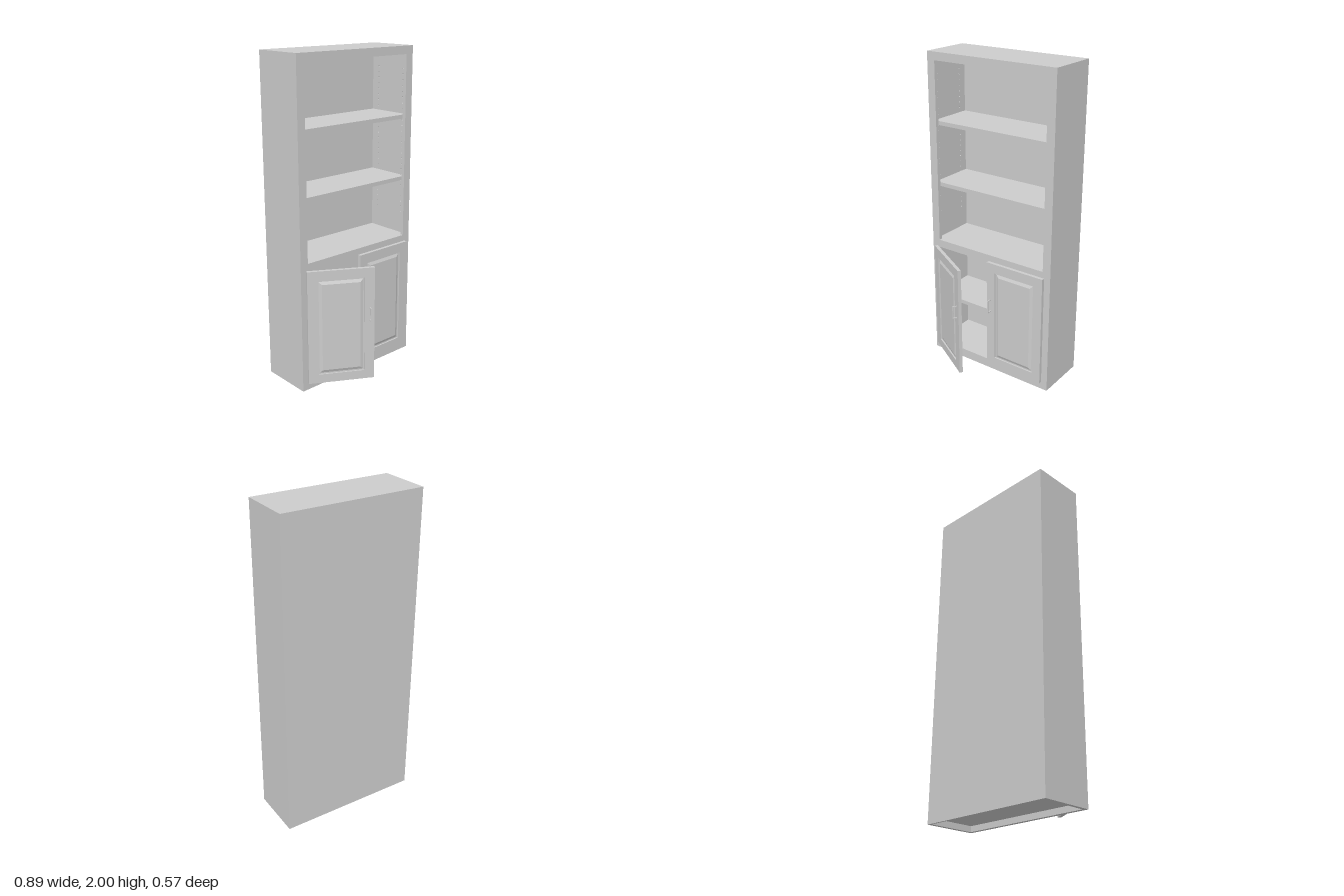
import * as THREE from 'three';

const material = new THREE.MeshStandardMaterial({ color: 0xcccccc, flatShading: true });

// Overall cabinet limits
const W = 0.443, H = 2, BACK = -0.285, FRONT = 0.047;
const FRAME = 0.022, WALL = 0.022;
const DOOR = { w: 0.402, y0: 0.05, y1: 0.77, t: 0.021 };

function add(parent, name, geometry) {
  const mesh = new THREE.Mesh(geometry, material);
  mesh.name = name;
  parent.add(mesh);
  return mesh;
}

// Box given by its limits on each axis
function box(parent, name, x0, x1, y0, y1, z0, z1) {
  const mesh = add(parent, name, new THREE.BoxGeometry(x1 - x0, y1 - y0, z1 - z0));
  mesh.position.set((x0 + x1) / 2, (y0 + y1) / 2, (z0 + z1) / 2);
  return mesh;
}

function rect(x0, x1, y0, y1, Type = THREE.Shape) {
  return new Type([[x0, y0], [x1, y0], [x1, y1], [x0, y1]].map(p => new THREE.Vector2(...p)));
}

// Flat plate with rectangular openings, its back at z
function plate(parent, name, outline, holes, depth, z) {
  outline.holes.push(...holes);
  const mesh = add(parent, name, new THREE.ExtrudeGeometry(outline, { depth, bevelEnabled: false }));
  mesh.position.z = z;
  return mesh;
}

// Side wall: solid outer skin and an inner lining drilled for shelf pins
function sideWall(parent, side) {
  const skin = 0.012, z1 = FRONT - FRAME;
  const xs = [side * W, side * (W - skin)].sort((a, b) => a - b);
  box(parent, 'sidePanel', xs[0], xs[1], 0, H, BACK, z1);
  const lining = rect(-z1, -BACK, 0, H);
  for (const z of [-0.01, -0.22]) {
    for (let y = 0.95; y < 1.86; y += 0.035) {
      const hole = new THREE.Path();
      hole.absarc(-z, y, 0.004, 0, Math.PI * 2, true);
      lining.holes.push(hole);
    }
  }
  const mesh = add(parent, 'drilledSideLining', new THREE.ExtrudeGeometry(lining,
    { depth: WALL - skin, bevelEnabled: false, curveSegments: 4 }));
  mesh.rotation.y = Math.PI / 2;
  mesh.position.x = side > 0 ? W - WALL : -W + skin;
}

// Raised-panel door; local x runs from 0 to its width, back face on z = 0
function makeDoor(name, handleX) {
  const door = new THREE.Group();
  door.name = name;
  const { w, y0, y1, t } = DOOR, m = 0.06, groove = 0.009;
  box(door, 'doorBack', 0, w, y0, y1, 0, t - groove);
  const px0 = m, px1 = w - m, py0 = y0 + m - 0.004, py1 = y1 - m;
  plate(door, 'doorFrame', rect(0, w, y0, y1),
    [rect(px0, px1, py0, py1, THREE.Path)], groove, t - groove);

  // Centre field with sloping edges rising out of the groove
  const gap = 0.008, bevel = 0.018, inset = gap + bevel;
  const field = add(door, 'raisedPanel', new THREE.ExtrudeGeometry(
    rect(px0 + inset, px1 - inset, py0 + inset, py1 - inset),
    { depth: 0.001, bevelSize: bevel, bevelThickness: 0.008, bevelSegments: 1 }));
  field.position.z = t - groove - 0.001;

  // C-shaped pull
  const r = 0.003, hy0 = 0.435, hy1 = 0.52, reach = t + 0.031;
  const handle = new THREE.Group();
  handle.name = 'handle';
  box(handle, 'handleGrip', handleX - r, handleX + r, hy0, hy1, reach - 2 * r, reach);
  for (const y of [hy0, hy1 - 2 * r]) {
    box(handle, 'handlePost', handleX - r, handleX + r, y, y + 2 * r, t, reach - 2 * r);
  }
  door.add(handle);
  return door;
}

export function createModel() {
  const model = new THREE.Group();
  model.name = 'bookcase';
  const inner = W - WALL, zBack = BACK + 0.012, zFront = FRONT - FRAME;

  // Carcass
  for (const side of [-1, 1]) sideWall(model, side);
  box(model, 'backPanel', -inner, inner, 0, H, BACK, zBack);
  box(model, 'topPanel', -inner, inner, H - 0.025, H, zBack, zFront);

  // Face frame with an open bay above and a cupboard below
  plate(model, 'faceFrame', rect(-W, W, 0, H), [
    rect(-0.39, 0.39, 0.81, 1.95, THREE.Path),
    rect(-0.39, 0.39, 0.06, 0.76, THREE.Path),
  ], FRAME, zFront);

  // Floor, cupboard top and shelves, by height of upper face
  const boards = [['floor', 0.06], ['cupboardShelf', 0.415], ['cupboardTop', 0.81],
    ['lowerShelf', 1.195], ['upperShelf', 1.585]];
  for (const [name, top] of boards) {
    box(model, name, -inner, inner, top - 0.025, top, zBack, zFront);
  }

  // Doors: one closed, one swung open on its hinge
  const closed = makeDoor('leftDoor', 0.028);
  closed.position.z = FRONT + 0.001;
  const open = makeDoor('rightDoor', DOOR.w - 0.028);
  open.position.set(-0.405, 0, FRONT + 0.003);
  open.rotation.y = -Math.PI / 6;
  model.add(closed, open);
  return model;
}
